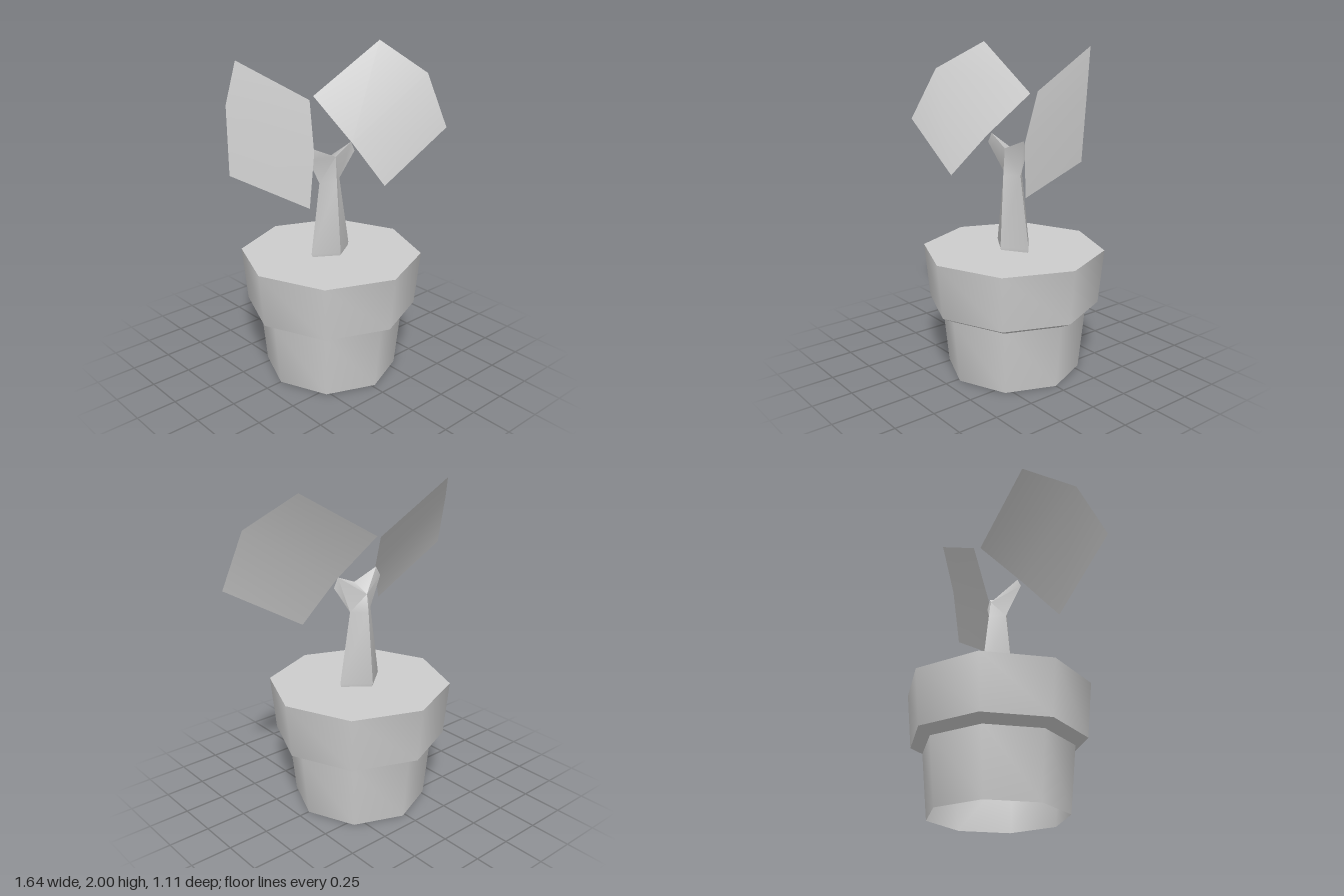
import * as THREE from 'three';
import { toCreasedNormals } from 'three/addons/utils/BufferGeometryUtils.js';

const grey = new THREE.MeshStandardMaterial({ color: 0xcccccc, side: THREE.DoubleSide });
grey.name = 'plain grey';

// Mesh from polygons given as lists of corner points, with soft creases
function polyMesh(name, polygons, crease) {
  const pos = [];
  for (const p of polygons)
    for (let i = 1; i < p.length - 1; i++) pos.push(...p[0], ...p[i], ...p[i + 1]);
  const g = new THREE.BufferGeometry();
  g.setAttribute('position', new THREE.Float32BufferAttribute(pos, 3));
  const mesh = new THREE.Mesh(toCreasedNormals(g, crease), grey);
  mesh.name = name;
  return mesh;
}

// Eight-sided pot, open underneath, closed by flat soil on top
function createPot() {
  const profile = [[0.412, 0], [0.45, 0.395], [0.525, 0.435], [0.557, 0.77], [0, 0.77]]
    .map(([r, y]) => new THREE.Vector2(r, y));
  const pot = new THREE.Mesh(toCreasedNormals(new THREE.LatheGeometry(profile, 8), 0.87), grey);
  pot.position.x = 0.02;
  pot.name = 'pot';
  return pot;
}

// Diamond-section stem that forks into two flattened, pointed arms
function createStem() {
  const ring = (y, left, right, front, back) => {
    const mid = (left + right) / 2;
    return [[left, y, 0], [mid, y, front], [right, y, 0], [mid, y, back]];
  };
  const rings = [
    ring(0.74, -0.115, 0.155, 0.085, -0.11),
    ring(0.79, -0.135, 0.17, 0.095, -0.125),
    ring(1.23, -0.07, 0.09, 0.067, -0.075),
  ];
  const faces = [];
  for (let k = 0; k < 2; k++)
    for (let i = 0; i < 4; i++) {
      const j = (i + 1) % 4;
      faces.push([rings[k][i], rings[k][j], rings[k + 1][j], rings[k + 1][i]]);
    }
  const [neckL, neckF, neckR, neckB] = rings[2];
  const crotchF = [0.01, 1.39, 0.055], crotchB = [0.01, 1.34, -0.06];
  const arms = [
    { neck: neckR, upper: [0.155, 1.45, 0.03], lower: [0.185, 1.39, 0.03], flip: false },
    { neck: neckL, upper: [-0.145, 1.46, 0.035], lower: [-0.18, 1.4, 0.035], flip: true },
  ];
  for (const { neck, upper, lower, flip } of arms) {
    const side = [
      [neckF, neck, crotchF], [neck, lower, upper, crotchF],
      [neck, neckB, crotchB], [neck, crotchB, upper, lower],
      [crotchF, upper, crotchB],
    ];
    faces.push(...side.map(f => (flip ? [...f].reverse() : f)));
  }
  return polyMesh('stem', faces, 0.9);
}

// Broad leaf: two panels meeting along a midrib
function createLeaf(name, base, tip, upper, lower, flip) {
  const panels = [
    [base, tip, upper[1], upper[0]],
    [base, lower[0], lower[1], tip],
  ];
  return polyMesh(name, panels.map(p => (flip ? p.reverse() : p)), 0.9);
}

export function createModel() {
  const model = new THREE.Group();
  model.name = 'pottedSprout';
  model.add(
    createPot(),
    createStem(),
    createLeaf('leftLeaf', [0.165, 1.44, 0.03], [0.74, 1.8, 0.1],
      [[0.035, 1.71, -0.175], [0.53, 2, -0.12]],
      [[0.325, 1.165, 0.155], [0.82, 1.46, 0.205]], false),
    createLeaf('rightLeaf', [-0.16, 1.445, 0.06], [-0.735, 1.805, 0.04],
      [[-0.01, 1.695, -0.155], [-0.51, 1.98, -0.185]],
      [[-0.325, 1.19, 0.213], [-0.825, 1.48, 0.18]], true),
  );
  return model;
}
